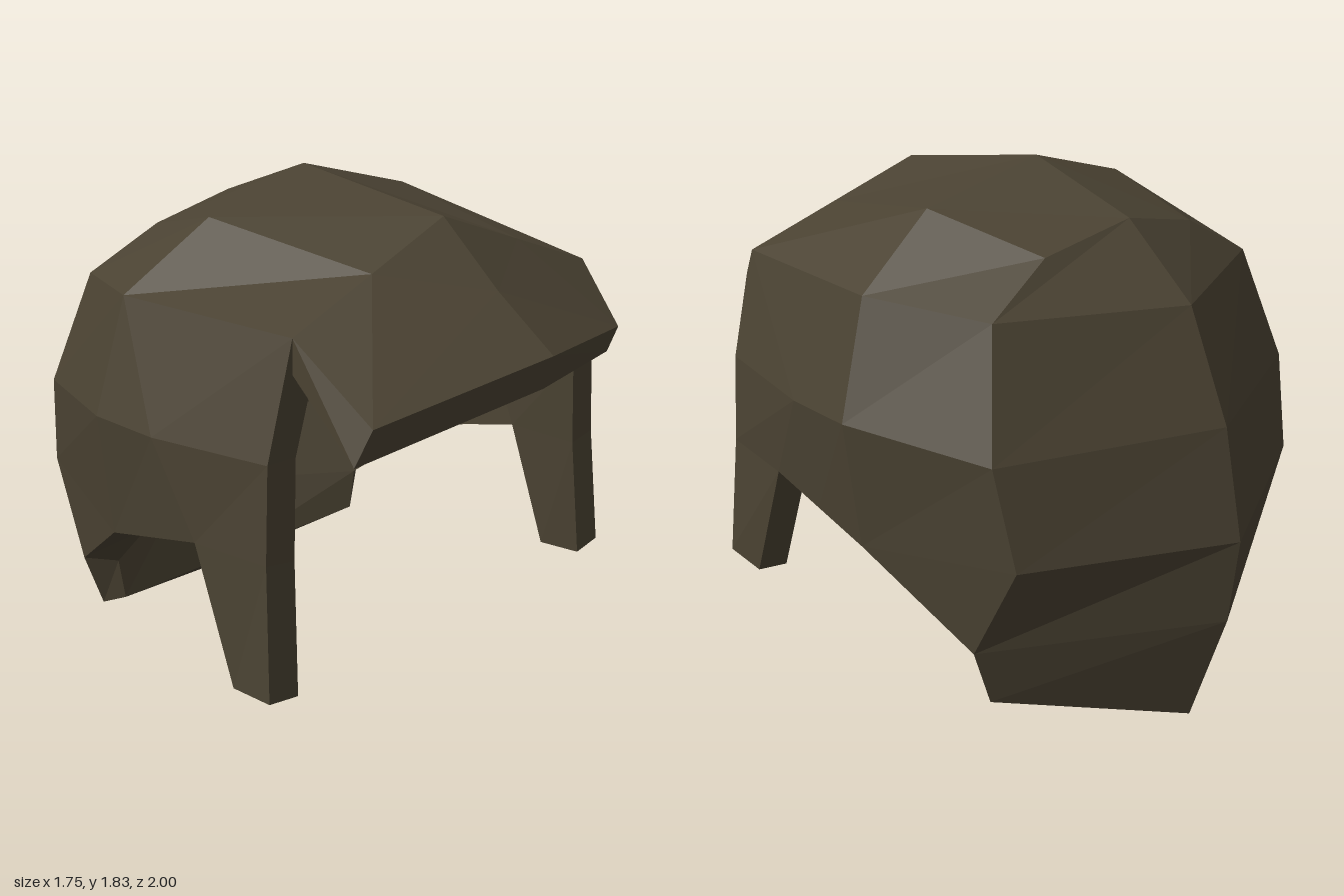
import * as THREE from 'three';

// Half-shell landmarks (x >= 0): S spine, K crown, B back centre, C back corner,
// M and N side, Q rear of sideburn, F front edge. Numbers run downwards.
const P = {
  S0: [0, 1.69, -0.5], S1: [0, 1.835, -0.09], S2: [0, 1.75, 0.55],
  K0: [0.35, 1.62, -0.47], K1: [0.45, 1.72, -0.05], K2: [0.34, 1.63, 0.575],
  B1: [0, 1.46, -0.76], B2: [0, 1.1, -0.92], B3: [0, 0.73, -1], B4: [0, 0.43, -0.97], B5: [0, 0.01, -0.84],
  C1: [0.61, 1.48, -0.51], C2: [0.72, 1.09, -0.62], C3: [0.69, 0.76, -0.69], C4: [0.71, 0.42, -0.52], C5: [0.64, 0.21, -0.52],
  M1: [0.76, 1.51, -0.1], M2: [0.875, 1.13, -0.12], M3: [0.83, 0.7, -0.13],
  N2: [0.86, 1.13, 0.15], N3: [0.83, 0.76, 0.09],
  Q3: [0.83, 0.82, 0.31], Q4: [0.83, 0.38, 0.48],
  F1: [0.68, 1.51, 0.6], F2: [0.78, 1.15, 0.6], F3: [0.8, 0.84, 0.61], F4: [0.83, 0.4, 0.65],
};

// Brim landmarks: E upper edge, D lower edge, L/H the longer flap on one side
const BRIM = {
  G: [0, 1.555, 0.78], E0: [0, 1.4, 1], E1: [0.54, 1.35, 0.86],
  D0: [0, 1.29, 0.97], D1: [0.5, 1.27, 0.85],
  L: [-0.69, 1.33, 0.93], DL: [-0.73, 1.22, 0.9], H: [-0.68, 1.4, 0.6],
};

// Inner lining: shrink sideways and forward from the back, lower the ceiling
function inset([x, y, z]) {
  const iy = y > 1.13 ? 1.13 + (y - 1.13) * 0.8 : y < 0.1 ? 0.05 : y < 0.3 ? y + 0.03 : y - 0.02;
  return [x * (y < 0.3 ? 0.92 : 0.86), iy, z > 0 ? z : z * 0.86];
}

// "iF1-" means landmark F1, inset to the lining and mirrored to -x
function point(key) {
  const mirrored = key.endsWith('-');
  let name = mirrored ? key.slice(0, -1) : key;
  const inner = name.startsWith('i');
  if (inner) name = name.slice(1);
  let p = P[name] || BRIM[name];
  if (inner) p = inset(p);
  return mirrored ? [-p[0], p[1], p[2]] : p;
}

// Polygons given as landmark names, counter-clockwise, split into fans
function polyMesh(name, faces, material) {
  const pos = [];
  for (const face of faces) {
    const v = face.map(point);
    for (let i = 1; i < v.length - 1; i++) pos.push(...v[0], ...v[i], ...v[i + 1]);
  }
  const geo = new THREE.BufferGeometry();
  geo.setAttribute('position', new THREE.Float32BufferAttribute(pos, 3));
  geo.computeVertexNormals();
  const mesh = new THREE.Mesh(geo, material);
  mesh.name = name;
  return mesh;
}

const parse = (text) => text.split(',').map((f) => f.trim().split(' '));
const mirror = (faces) => faces.map((f) => f.map((k) => k + '-').reverse());
const both = (faces) => [...faces, ...mirror(faces)];
const lining = (faces) => faces.map((f) => f.map((k) => 'i' + k).reverse());

export function createModel() {
  const group = new THREE.Group();
  group.name = 'hair';
  const material = new THREE.MeshStandardMaterial({ color: 0x4a4232, flatShading: true });
  const add = (name, faces) => group.add(polyMesh(name, faces, material));

  // Outer shell
  const crown = parse('S0 S1 K1 K0, S1 S2 K2 K1, K0 K1 M1 C1, K1 K2 F1 M1, S0 K0 C1 B1');
  const back = [1, 2, 3, 4].map((i) => [`B${i}`, `C${i}`, `C${i + 1}`, `B${i + 1}`]);
  const sides = parse('C1 M1 M2 C2, C2 M2 M3 C3, C3 M3 C4, M1 F1 N2, M1 N2 M2, F1 F2 N2, M2 N2 N3 M3, N2 Q3 N3');
  const sideburns = parse('N2 F2 F3 Q3, Q3 F3 F4 Q4');
  add('crown', both(crown));
  add('back', both(back));
  add('sides', both(sides));
  add('sideburns', both(sideburns));

  // Inner surface and the rim that joins it to the outer shell
  add('lining', both(lining([...crown, ...back, ...sides, ...sideburns])));
  const edge = ['F1', 'F2', 'F3', 'F4', 'Q4', 'Q3', 'N3', 'M3', 'C4', 'C5', 'B5'];
  const rim = edge.slice(1).map((q, i) => [edge[i], 'i' + edge[i], 'i' + q, q]);
  add('rim', both(rim));

  // Nape underside
  add('napeUnderside', parse('iC5- iB5 iC5'));

  // Swept fringe: top, edge and underside, longer on the -x side
  add('fringeTop', parse(
    'S2 G K2, G E0 E1 K2, K2 E1 F1, F1 E1 F2, S2 K2- G, G K2- L E0, K2- F1- L'));
  add('fringeEdge', parse('E0 D0 D1 E1, E1 D1 iF2 F2, L DL D0 E0, F1- H DL L'));
  add('fringeUnderside', parse('D0 iS2 iK2 iF1 D1, D1 iF1 iF2, D0 DL H iF1- iK2- iS2'));
  return group;
}
